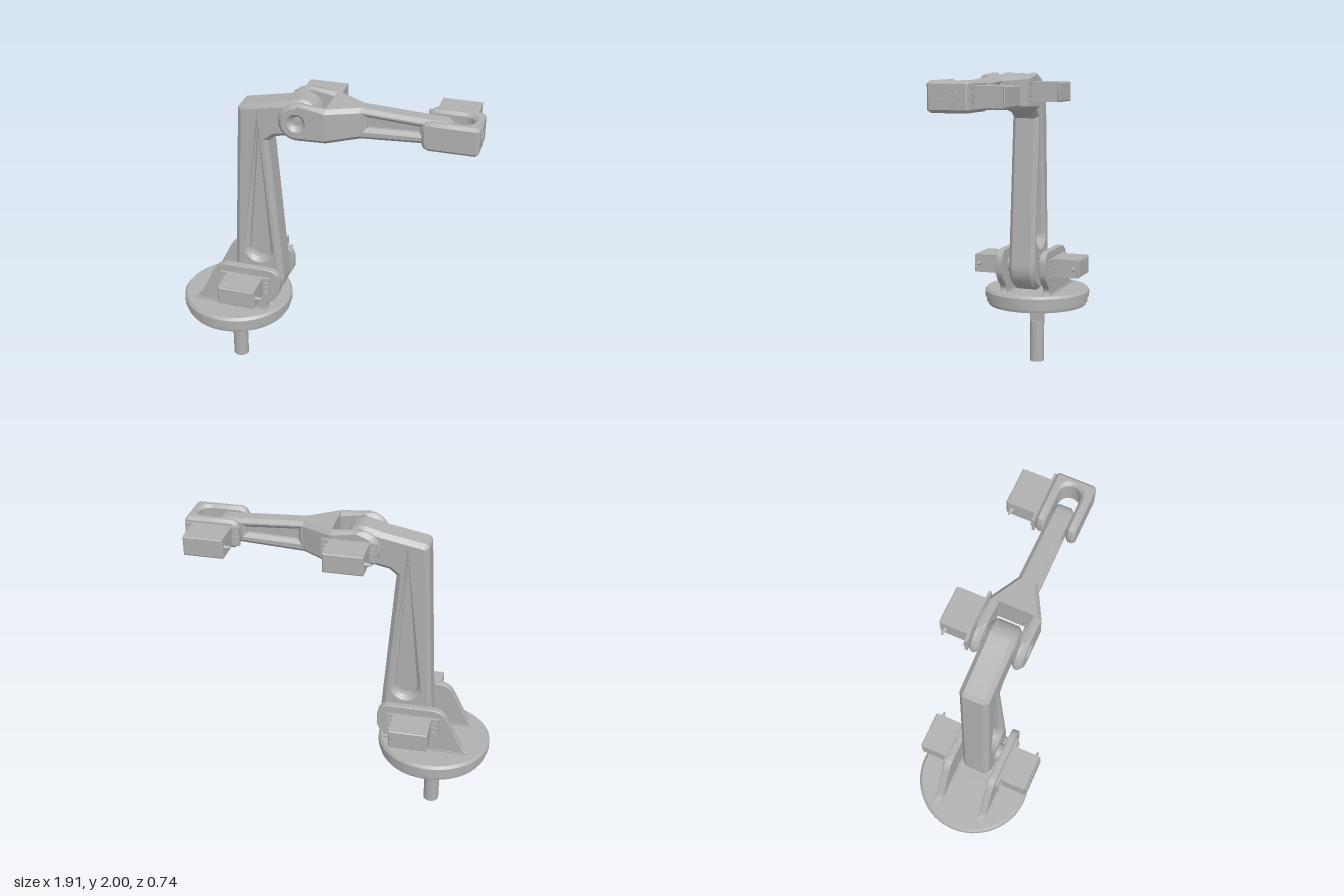
import * as THREE from 'three';
import { toCreasedNormals } from 'three/addons/utils/BufferGeometryUtils.js';

const grey = new THREE.MeshStandardMaterial({ color: 0xb0b0b0 });
grey.name = 'grey';

const crease = (g) => toCreasedNormals(g, 0.5);

function add(parent, name, geometry) {
  const m = new THREE.Mesh(crease(geometry), grey);
  m.name = name;
  parent.add(m);
  return m;
}

// Chamfered slab: an outline in x/y filling z0..z1
function slab(shape, z0, z1, b = 0) {
  return new THREE.ExtrudeGeometry(shape, {
    depth: z1 - z0 - 2 * b, curveSegments: 20, bevelEnabled: b > 0,
    bevelThickness: b, bevelSize: b, bevelOffset: -b, bevelSegments: 1,
  }).translate(0, 0, z0 + b);
}

function poly(points) {
  return new THREE.Shape(points.map(([x, y]) => new THREE.Vector2(x, y)));
}

function circleHole(x, y, r) {
  return new THREE.Path().absarc(x, y, r, 0, Math.PI * 2, true);
}

function cylZ(x, y, z0, z1, r) {
  return new THREE.CylinderGeometry(r, r, z1 - z0, 24).rotateX(Math.PI / 2).translate(x, y, (z0 + z1) / 2);
}

function box(x0, x1, y0, y1, z0, z1) {
  return new THREE.BoxGeometry(x1 - x0, y1 - y0, z1 - z0)
    .translate((x0 + x1) / 2, (y0 + y1) / 2, (z0 + z1) / 2);
}

// Square off one chamfered end so it joins the neighbouring part
function squareEnd(g, test, x) {
  const p = g.attributes.position;
  for (let i = 0; i < p.count; i++) if (test(p.getX(i))) p.setX(i, x);
  return g;
}

// Chamfered rectangles [x, half depth, top, bottom] joined along x
function loft(sections, c) {
  const pos = [], idx = [];
  for (const [x, h, t, b] of sections) {
    for (const [y, z] of [[t, -h + c], [t, h - c], [t - c, h], [b + c, h],
      [b, h - c], [b, -h + c], [b + c, -h], [t - c, -h]]) pos.push(x, y, z);
  }
  for (let s = 0; s < sections.length - 1; s++) {
    for (let i = 0; i < 8; i++) {
      const a = s * 8 + i, n = s * 8 + (i + 1) % 8;
      idx.push(a, n, a + 8, n, n + 8, a + 8);
    }
  }
  for (let i = 1; i < 7; i++) idx.push(0, i + 1, i);
  const g = new THREE.BufferGeometry();
  g.setAttribute('position', new THREE.Float32BufferAttribute(pos, 3));
  g.setIndex(idx);
  g.computeVertexNormals();
  return g;
}

// Servo pointing out along +z, with its mounting flange at z = 0
function servo(name, length, cableSide) {
  const s = new THREE.Group();
  s.name = name;
  const w = 0.121, h = 0.061;
  const flange = poly([[-0.168, -h], [0.168, -h], [0.168, h], [-0.168, h]]);
  for (const x of [-0.145, 0.145]) for (const y of [-0.035, 0.035]) flange.holes.push(circleHole(x, y, 0.011));
  add(s, 'servoFlange', slab(flange, 0, 0.018));
  const body = poly([[-w, -h], [w, -h], [w, h], [-w, h]]);
  add(s, 'servoBody', slab(body, 0, length - 0.012));
  add(s, 'servoCover', slab(body, length - 0.012, length, 0.007));
  for (const x of [-1, 1]) add(s, 'flangeRib', box(x * 0.145 - 0.023, x * 0.145 + 0.023, -0.006, 0.006, 0.01, 0.028));
  // Cable stub
  add(s, 'cableStub', new THREE.CylinderGeometry(0.006, 0.014, 0.04, 10)
    .rotateZ(-cableSide * Math.PI / 2).translate(cableSide * (w + 0.02), 0, length - 0.035));
  return s;
}

export function createModel() {
  const model = new THREE.Group();
  model.name = 'robotArm';

  // Turntable, hollow underneath
  const base = new THREE.Group();
  base.name = 'base';
  base.position.x = -0.6;
  model.add(base);
  const profile = [[0, 0.47], [0.29, 0.47], [0.3, 0.41], [0.335, 0.41], [0.34, 0.43], [0.348, 0.43],
    [0.348, 0.468], [0.36, 0.47], [0.36, 0.508], [0.345, 0.525], [0, 0.525]];
  add(base, 'turntable', new THREE.LatheGeometry(profile.map(([r, y]) => new THREE.Vector2(r, y)), 64));
  add(base, 'hub', new THREE.CylinderGeometry(0.075, 0.075, 0.03, 32).translate(0, 0.457, 0));
  add(base, 'underRib', box(-0.29, 0.29, 0.445, 0.475, -0.02, 0.02).rotateY(Math.PI / 4));
  add(base, 'centreMark', new THREE.CylinderGeometry(0.013, 0.013, 0.006, 16).translate(0, 0.526, 0));

  // Drive shaft with a flat on its upper part
  add(base, 'shaft', new THREE.CylinderGeometry(0.05, 0.05, 0.285, 32).translate(0, 0.1425, 0));
  const dShape = new THREE.Shape().absarc(0, 0, 0.05, Math.PI / 3, Math.PI * 5 / 3, false);
  add(base, 'shaftFlat', slab(dShape, 0.28, 0.46).rotateX(-Math.PI / 2));

  // Shoulder brackets, servos and pivots
  const bracket = new THREE.Shape();
  bracket.moveTo(-0.86, 0.522);
  bracket.quadraticCurveTo(-0.815, 0.53, -0.79, 0.58);
  bracket.lineTo(-0.7, 0.76);
  bracket.quadraticCurveTo(-0.668, 0.825, -0.6, 0.825);
  bracket.lineTo(-0.335, 0.825);
  bracket.quadraticCurveTo(-0.252, 0.825, -0.252, 0.74);
  bracket.lineTo(-0.254, 0.67);
  bracket.quadraticCurveTo(-0.27, 0.62, -0.32, 0.585);
  bracket.quadraticCurveTo(-0.355, 0.555, -0.33, 0.522);
  for (const side of [1, -1]) {
    const z0 = side > 0 ? 0.13 : -0.175;
    add(model, 'shoulderBracket', slab(bracket, z0, z0 + 0.045, 0.004));
    add(model, 'bracketFoot', box(-0.84, -0.345, 0.52, 0.532, z0 - 0.008, z0 + 0.053));
    add(model, 'shoulderPivot', cylZ(-0.42, 0.71, side > 0 ? 0.08 : -0.14, side > 0 ? 0.14 : -0.08, 0.058));
    const s = servo('shoulderServo', 0.195, side);
    s.position.set(-0.48, 0.71, side * 0.175);
    if (side < 0) s.rotation.y = Math.PI;
    model.add(s);
  }

  // Lower arm with a tapered pocket on both sides
  const lower = new THREE.Shape();
  lower.moveTo(-0.583, 0.74);
  lower.lineTo(-0.525, 1.9);
  lower.lineTo(-0.505, 1.92);
  lower.lineTo(-0.24, 1.97);
  lower.absarc(-0.13, 1.885, 0.113, 1.8, -1.38, true);
  lower.lineTo(-0.29, 1.735);
  lower.lineTo(-0.334, 1.7);
  lower.lineTo(-0.257, 0.74);
  lower.absarc(-0.42, 0.71, 0.165, 0.1, -Math.PI - 0.1, true);
  const lowerPocket = new THREE.Path();
  lowerPocket.moveTo(-0.448, 1.85);
  lowerPocket.absarc(-0.414, 0.92, 0.072, Math.PI, Math.PI * 2, false);
  lowerPocket.lineTo(-0.4, 1.85);
  lower.holes.push(lowerPocket);
  add(model, 'lowerArm', slab(lower, -0.09, 0.09, 0.027));
  add(model, 'lowerArmWeb', slab(poly([[-0.47, 1.87], [-0.51, 0.82], [-0.32, 0.82], [-0.38, 1.87]]), -0.025, 0.025));

  // Upper arm fork
  for (const side of [1, -1]) {
    const cheek = new THREE.Shape();
    cheek.moveTo(0.045, 1.989);
    cheek.lineTo(-0.14, 2.0);
    cheek.absarc(-0.13, 1.882, 0.118, 1.65, Math.PI * 1.5 - 0.05, false);
    cheek.lineTo(0.045, 1.77);
    if (side > 0) cheek.holes.push(circleHole(-0.13, 1.885, 0.033));
    const z0 = side > 0 ? 0.098 : -0.165;
    add(model, 'forkCheek', squareEnd(slab(cheek, z0, z0 + 0.067, 0.025), (x) => x > 0, 0.045));
  }
  add(model, 'forkTaper', loft([[0.045, 0.165, 1.989, 1.77], [0.24, 0.06, 1.979, 1.781]], 0.025));
  add(model, 'elbowPin', cylZ(-0.13, 1.885, -0.14, 0.135, 0.02));
  add(model, 'elbowSpacer', cylZ(-0.13, 1.885, -0.11, 0.11, 0.06));
  const elbowServo = servo('elbowServo', 0.195, 1);
  elbowServo.position.set(-0.07, 1.885, -0.163);
  elbowServo.rotation.y = Math.PI;
  model.add(elbowServo);

  // Upper arm beam with pockets
  const beam = new THREE.Shape();
  beam.moveTo(0.18, 1.982);
  beam.lineTo(0.66, 1.957);
  beam.absarc(0.715, 1.882, 0.075, 1.5, -1.5, true);
  beam.lineTo(0.66, 1.805);
  beam.lineTo(0.18, 1.778);
  const beamPocket = new THREE.Path();
  beamPocket.moveTo(0.27, 1.925);
  beamPocket.lineTo(0.27, 1.855);
  beamPocket.lineTo(0.59, 1.866);
  beamPocket.lineTo(0.59, 1.906);
  beam.holes.push(beamPocket);
  add(model, 'upperArmBeam', slab(beam, -0.06, 0.06, 0.022));
  add(model, 'upperArmWeb', box(0.25, 0.61, 1.84, 1.94, -0.018, 0.018));

  // Wrist block: two cheeks and a slotted nose
  const wy0 = 1.793, wy1 = 1.973;
  for (const side of [1, -1]) {
    const cheek = poly([[0.8, wy0], [0.655, wy0], [0.625, wy0 + 0.015], [0.612, wy0 + 0.045],
      [0.612, wy1 - 0.045], [0.625, wy1 - 0.015], [0.655, wy1], [0.8, wy1]]);
    if (side > 0) cheek.holes.push(circleHole(0.715, 1.883, 0.022));
    const z0 = side > 0 ? 0.066 : -0.125;
    add(model, 'wristCheek', squareEnd(slab(cheek, z0, z0 + 0.059, 0.018), (x) => x > 0.76, 0.8));
  }
  const nose = new THREE.Shape();
  nose.moveTo(0.8, -0.125);
  nose.lineTo(0.935, -0.125);
  nose.lineTo(0.95, -0.11);
  nose.lineTo(0.95, 0.11);
  nose.lineTo(0.935, 0.125);
  nose.lineTo(0.8, 0.125);
  nose.lineTo(0.8, 0.066);
  nose.absarc(0.834, 0, 0.066, Math.PI / 2, -Math.PI / 2, true);
  nose.lineTo(0.8, -0.066);
  add(model, 'wristNose', squareEnd(slab(nose, wy0, wy1, 0.018).rotateX(-Math.PI / 2), (x) => x < 0.825, 0.8));
  add(model, 'wristPin', cylZ(0.715, 1.883, -0.11, 0.108, 0.014));

  // Tool mount on the nose
  const plate = new THREE.Shape().absarc(0, 0, 0.065, 0, Math.PI * 2, false);
  plate.holes.push(circleHole(0, 0, 0.022));
  for (let i = 0; i < 4; i++) {
    const a = i * Math.PI / 2;
    plate.holes.push(circleHole(Math.cos(a) * 0.043, Math.sin(a) * 0.043, 0.007));
  }
  add(model, 'toolPlate', slab(plate, 0, 0.005).rotateY(Math.PI / 2).translate(0.949, 1.883, 0));

  const wristServo = servo('wristServo', 0.2, 1);
  wristServo.position.set(0.775, 1.883, -0.123);
  wristServo.rotation.y = Math.PI;
  model.add(wristServo);

  return model;
}
